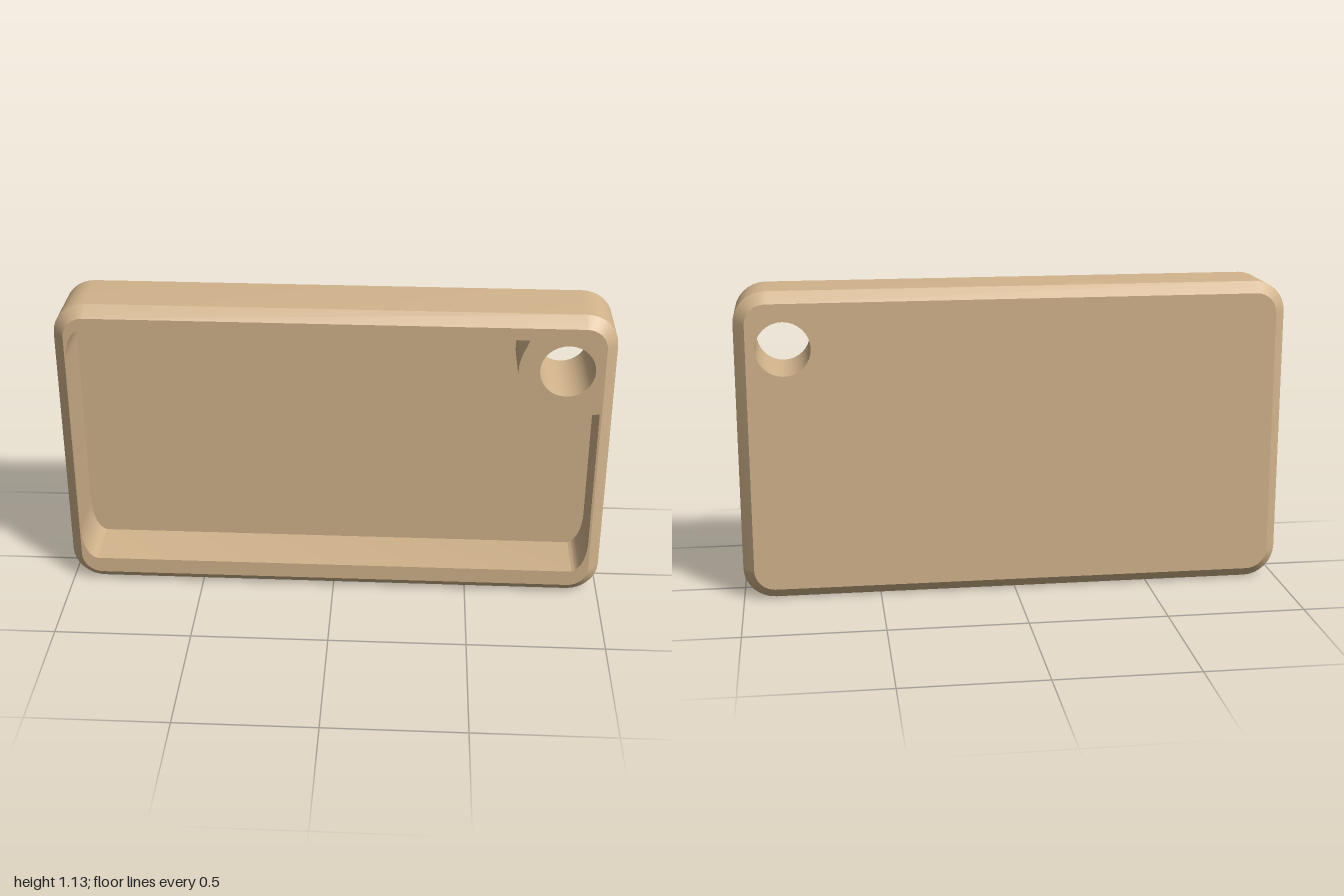
import * as THREE from 'three';
import { toCreasedNormals } from 'three/addons/utils/BufferGeometryUtils.js';

const HALF_W = 1, HEIGHT = 1.135, HALF_D = 0.15, CHAMFER = 0.04, RADIUS = 0.115, FLOOR_Z = -0.06;
const HOLE = { x: 0.828, y: 0.933, r: 0.098 };

// Counter-clockwise rounded rectangle, shrunk by an inset
function outline(inset) {
  const pts = [];
  const r = RADIUS - inset;
  const cx = HALF_W - RADIUS, lo = RADIUS, hi = HEIGHT - RADIUS;
  [[cx, lo], [cx, hi], [-cx, hi], [-cx, lo]].forEach(([x, y], k) => {
    for (let i = 0; i <= 8; i++) {
      const a = (k - 1 + i / 8) * Math.PI / 2;
      pts.push(new THREE.Vector2(x + r * Math.cos(a), y + r * Math.sin(a)));
    }
  });
  return pts;
}

// Pocket outline with softened corners, stepping around the boss
function pocketOutline() {
  const s = new THREE.Shape();
  const rx = 0.06, ry = 0.13, l = -0.957, r = 0.952, b = 0.1, t = 1.05;
  s.moveTo(l + rx, b);
  s.lineTo(r - rx, b);
  s.absellipse(r - rx, b + ry, rx, ry, -Math.PI / 2, 0, false);
  s.lineTo(r, 0.768);
  s.absarc(0.835, 0.93, 0.18, Math.PI * 1.57, Math.PI * 0.85, true);
  s.lineTo(0.69, t);
  s.lineTo(l + rx, t);
  s.absellipse(l + rx, t - ry, rx, ry, Math.PI / 2, Math.PI, false);
  s.lineTo(l, b + ry);
  s.absellipse(l + rx, b + ry, rx, ry, Math.PI, Math.PI * 1.5, false);
  const pts = s.getPoints(16).filter((p, i, all) => i === 0 || p.distanceTo(all[i - 1]) > 1e-5);
  if (pts[0].distanceTo(pts[pts.length - 1]) < 1e-5) pts.pop();
  return pts;
}

// Joins closed rings of equal length, ordered back to front
function loft(rings, inward = false) {
  const n = rings[0].pts.length, pos = [], index = [];
  for (const { pts, z } of rings) for (const p of pts) pos.push(p.x, p.y, z);
  for (let k = 0; k < rings.length - 1; k++) {
    for (let i = 0; i < n; i++) {
      const a = k * n + i, b = k * n + (i + 1) % n, c = b + n, d = a + n;
      if (inward) index.push(a, c, b, a, d, c);
      else index.push(a, b, c, a, c, d);
    }
  }
  const g = new THREE.BufferGeometry();
  g.setAttribute('position', new THREE.Float32BufferAttribute(pos, 3));
  g.setIndex(index);
  return toCreasedNormals(g, 0.5);
}

// Flat face with holes at a given depth
function face(pts, holes, z, backward = false) {
  const s = new THREE.Shape(pts);
  s.holes = holes.map(h => new THREE.Path(h));
  const g = new THREE.ShapeGeometry(s);
  if (backward) {
    const ix = g.index.array;
    for (let i = 0; i < ix.length; i += 3) [ix[i], ix[i + 1]] = [ix[i + 1], ix[i]];
    g.computeVertexNormals();
  }
  return g.translate(0, 0, z);
}

export function createModel() {
  const model = new THREE.Group();
  model.name = 'tray';
  const tan = new THREE.MeshStandardMaterial({ name: 'tan', color: 0xd2b48c });
  const add = (name, geometry) => {
    const m = new THREE.Mesh(geometry, tan);
    m.name = name;
    model.add(m);
  };

  const full = outline(0), inset = outline(CHAMFER), pocket = pocketOutline();
  const hole = [];
  for (let i = 0; i < 32; i++) {
    const a = i / 32 * Math.PI * 2;
    hole.push(new THREE.Vector2(HOLE.x + HOLE.r * Math.cos(a), HOLE.y + HOLE.r * Math.sin(a)));
  }

  // Outer sides with chamfered front and back edges
  add('outerSides', loft([
    { pts: inset, z: -HALF_D },
    { pts: full, z: -HALF_D + CHAMFER },
    { pts: full, z: HALF_D - CHAMFER },
    { pts: inset, z: HALF_D },
  ]));
  // Front rim together with the boss face, and the plain back
  add('frontRim', face(inset, [pocket, hole], HALF_D));
  add('backPanel', face(inset, [hole], -HALF_D, true));
  // Recessed pocket
  add('pocketWalls', loft([{ pts: pocket, z: FLOOR_Z }, { pts: pocket, z: HALF_D }], true));
  add('pocketFloor', face(pocket, [], FLOOR_Z));
  // Through hole in the corner boss
  add('cornerHole', loft([{ pts: hole, z: -HALF_D }, { pts: hole, z: HALF_D }], true));

  return model;
}
